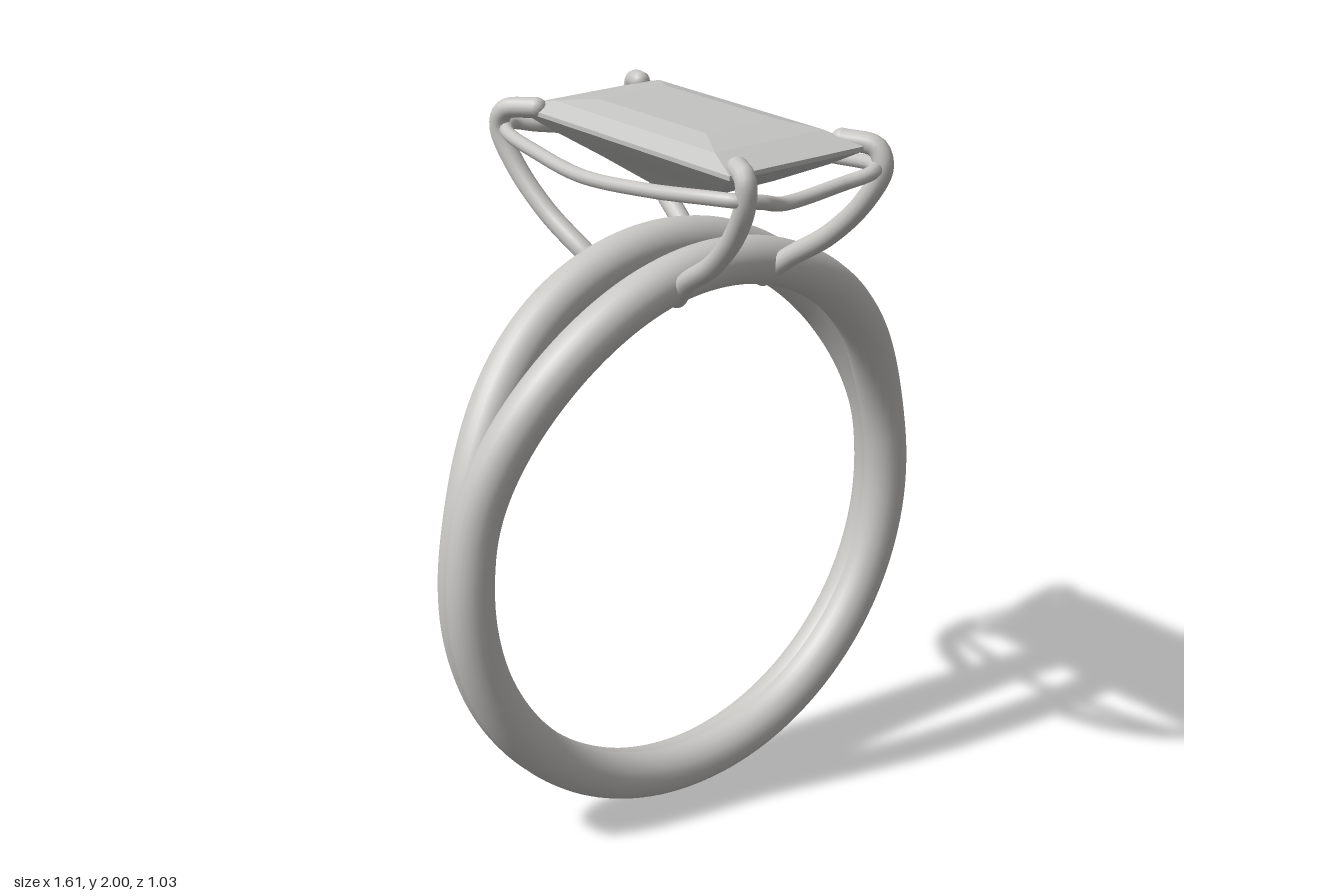
import * as THREE from 'three';

const metal = new THREE.MeshStandardMaterial({ color: 0xc8c6c3 });
metal.name = 'polished metal';
const stone = new THREE.MeshStandardMaterial({ color: 0xc4c4c3 });
stone.name = 'grey stone';

const vec = (p) => new THREE.Vector3(...p);

function addMesh(parent, name, geometry, material) {
  const mesh = new THREE.Mesh(geometry, material);
  mesh.name = name;
  parent.add(mesh);
  return mesh;
}

// One strand of the split band: round below, slightly taller above, parting towards the top
function strandGeometry(side) {
  const points = [];
  for (let i = 0; i < 64; i++) {
    const a = (i / 64) * Math.PI * 2 - Math.PI / 2;
    const s = Math.sin(a);
    const y = 0.805 + s * (s > 0 ? 0.798 : 0.738);
    const spread = 0.016 + 0.1 * THREE.MathUtils.smoothstep(y, 0.95, 1.63);
    points.push(new THREE.Vector3(0.738 * Math.cos(a), y, side * spread));
  }
  const curve = new THREE.CatmullRomCurve3(points, true);
  return new THREE.TubeGeometry(curve, 160, 0.066, 24, true);
}

// Step-cut stone from stacked rectangles [y, half width, half depth], closing in a point
function stoneGeometry() {
  const levels = [
    [2.0, 0.115, 0.225], [1.984, 0.18, 0.34], [1.955, 0.222, 0.447], [1.943, 0.222, 0.447],
    [1.9, 0.175, 0.37], [1.84, 0.1, 0.24], [1.745, 0, 0],
  ];
  const corners = [[1, 1], [1, -1], [-1, -1], [-1, 1]];
  const rings = levels.map(([y, w, d]) => corners.map(([x, z]) => [x * w, y, z * d]));
  const verts = [];
  const tri = (a, b, c) => verts.push(...a, ...b, ...c);
  const [t0, t1, t2, t3] = rings[0];
  tri(t0, t1, t2);
  tri(t0, t2, t3);
  for (let r = 0; r < rings.length - 1; r++) {
    const up = rings[r], low = rings[r + 1];
    for (let i = 0; i < 4; i++) {
      const j = (i + 1) % 4;
      tri(up[i], low[i], up[j]);
      if (r < rings.length - 2) tri(low[i], low[j], up[j]);
    }
  }
  const geometry = new THREE.BufferGeometry();
  geometry.setAttribute('position', new THREE.Float32BufferAttribute(verts, 3));
  geometry.computeVertexNormals();
  return geometry;
}

// Claw rising from the band and curling over a corner of the stone, with rounded ends
function makeProng(points) {
  const prong = new THREE.Group();
  prong.name = 'prong';
  const curve = new THREE.CatmullRomCurve3(points.map(vec));
  addMesh(prong, 'prongWire', new THREE.TubeGeometry(curve, 48, 0.028, 14), metal);
  for (const end of [points[0], points[points.length - 1]]) {
    addMesh(prong, 'prongEnd', new THREE.SphereGeometry(0.028, 14, 10), metal).position.set(...end);
  }
  return prong;
}

export function createModel() {
  const ring = new THREE.Group();
  ring.name = 'ring';

  for (const side of [1, -1]) {
    addMesh(ring, side > 0 ? 'frontStrand' : 'backStrand', strandGeometry(side), metal);
  }

  addMesh(ring, 'stone', stoneGeometry(), stone);

  // Two different prongs, each repeated by a half turn
  const prongs = [
    [[0.165, 1.54, 0.125], [0.195, 1.6, 0.19], [0.225, 1.69, 0.32], [0.25, 1.8, 0.425],
      [0.265, 1.9, 0.475], [0.26, 1.948, 0.455], [0.212, 1.962, 0.375]],
    [[-0.13, 1.54, 0.125], [-0.15, 1.6, 0.19], [-0.175, 1.69, 0.33], [-0.19, 1.8, 0.435],
      [-0.2, 1.9, 0.485], [-0.2, 1.952, 0.48], [-0.178, 1.965, 0.425]],
  ];
  for (const points of prongs) {
    for (const turn of [0, Math.PI]) {
      const prong = makeProng(points);
      prong.rotation.y = turn;
      ring.add(prong);
    }
  }

  // Gallery wire: half of the loop, completed by a half turn
  const half = [
    [0.05, 1.857, -0.457], [0.15, 1.885, -0.485], [0.215, 1.897, -0.475], [0.25, 1.895, -0.4],
    [0.283, 1.875, -0.2], [0.303, 1.86, 0.05], [0.295, 1.875, 0.25], [0.272, 1.895, 0.43],
    [0.21, 1.897, 0.492], [0.13, 1.88, 0.475],
  ];
  const loop = [...half, ...half.map(([x, y, z]) => [-x, y, -z])].map(vec);
  const gallery = new THREE.CatmullRomCurve3(loop, true);
  addMesh(ring, 'galleryWire', new THREE.TubeGeometry(gallery, 160, 0.019, 12, true), metal);

  return ring;
}
